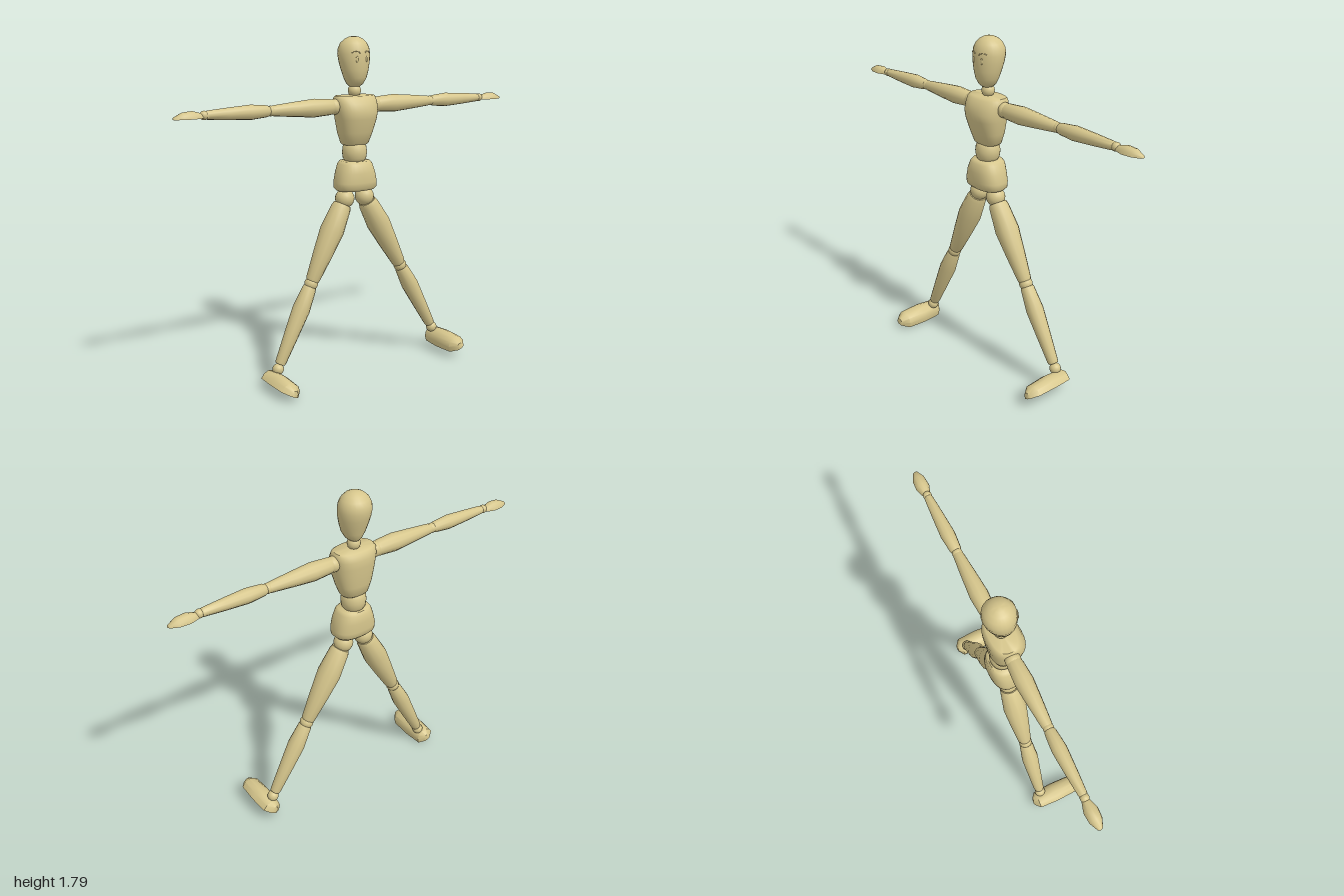
import * as THREE from 'three';
import { toCreasedNormals } from 'three/addons/utils/BufferGeometryUtils.js';

const wood = new THREE.MeshStandardMaterial({ color: 0xd6c68c });
const Z = -0.075; // depth of the body's axis
const vec = (x, y, z = Z) => new THREE.Vector3(x, y, z);

// Stacked rings [y, half width, half depth, centre z]; power > 2 squares the section
function loft(rings, { sides = 24, power = 2, flat = false } = {}) {
  const geo = new THREE.LatheGeometry(rings.map((r, i) => new THREE.Vector2(1, i)), sides);
  const pos = geo.attributes.position;
  const round = (v) => Math.sign(v) * Math.pow(Math.abs(v), 2 / power);
  for (let i = 0; i < pos.count; i++) {
    const [y, rx, rz, cz = 0] = rings[Math.round(pos.getY(i))];
    const z = round(pos.getZ(i)) * rz;
    pos.setXYZ(i, round(pos.getX(i)) * rx, y, (flat ? Math.min(z, 0) : z) + cz);
  }
  return geo;
}

export function createModel() {
  const group = new THREE.Group();

  function add(name, geo, crease = 0.75, parent = group) {
    const mesh = new THREE.Mesh(toCreasedNormals(geo, crease), wood);
    mesh.name = name;
    parent.add(mesh);
    return mesh;
  }

  function ball(name, p, rx, ry = rx, rz = rx, parent = group) {
    const mesh = new THREE.Mesh(new THREE.SphereGeometry(1, 20, 14), wood);
    mesh.name = name;
    mesh.scale.set(rx, ry, rz);
    mesh.position.copy(p);
    parent.add(mesh);
    return mesh;
  }

  // Turned limb from a to b; profile is [fraction of length, radius]
  function limb(name, a, b, profile) {
    const dir = b.clone().sub(a);
    const len = dir.length();
    const pts = profile.map(([t, r]) => new THREE.Vector2(r, t * len));
    pts.unshift(new THREE.Vector2(0, pts[0].y));
    pts.push(new THREE.Vector2(0, len));
    const mesh = add(name, new THREE.LatheGeometry(pts, 12));
    mesh.position.copy(a);
    mesh.quaternion.setFromUnitVectors(new THREE.Vector3(0, 1, 0), dir.normalize());
  }

  // Egg-shaped head
  add('head', loft([
    [1.532, 0, 0, -0.076], [1.535, 0.026, 0.032, -0.074], [1.55, 0.043, 0.047, -0.071],
    [1.58, 0.06, 0.06, -0.069], [1.62, 0.072, 0.07, -0.072], [1.66, 0.081, 0.078, -0.077],
    [1.7, 0.085, 0.082, -0.081], [1.73, 0.081, 0.079, -0.082], [1.755, 0.069, 0.067, -0.082],
    [1.775, 0.048, 0.047, -0.081], [1.786, 0.025, 0.025, -0.08], [1.79, 0, 0, -0.08],
  ]), 1.2);
  const face = new THREE.Group();
  face.name = 'face';
  group.add(face);
  for (const s of [-1, 1]) {
    // Eyes and curved brows lie just on the surface
    ball('eye', vec(s * 0.03, 1.675, -0.004), 0.007, 0.016, 0.004, face);
    const browPts = [[0.012, 1.706], [0.032, 1.716], [0.055, 1.708]].map(([x, y]) =>
      vec(s * x, y, -0.081 + 0.081 * Math.sqrt(1 - (x / 0.085) ** 2)));
    add('brow', new THREE.TubeGeometry(new THREE.CatmullRomCurve3(browPts), 8, 0.003, 6), 1.2, face);
  }
  ball('neck', vec(0, 1.513), 0.034, 0.034, 0.034);

  // Trunk
  add('chest', loft([
    [1.235, 0, 0, -0.075], [1.235, 0.066, 0.049, -0.075], [1.243, 0.075, 0.057, -0.075],
    [1.3, 0.094, 0.073, -0.071], [1.37, 0.11, 0.087, -0.063], [1.41, 0.116, 0.092, -0.062],
    [1.45, 0.118, 0.086, -0.069], [1.478, 0.116, 0.074, -0.073], [1.489, 0.108, 0.062, -0.075],
    [1.491, 0, 0, -0.075],
  ], { sides: 32, power: 2.5 }), 0.9);
  add('waist', loft([
    [1.14, 0, 0, Z], [1.145, 0.05, 0.05, Z], [1.165, 0.062, 0.061, Z], [1.195, 0.066, 0.065, Z],
    [1.225, 0.062, 0.061, Z], [1.245, 0.05, 0.05, Z], [1.25, 0, 0, Z],
  ]), 1.2);
  add('pelvis', loft([
    [0.995, 0, 0, -0.07], [0.997, 0.105, 0.07, -0.07], [1.01, 0.117, 0.082, -0.07],
    [1.04, 0.118, 0.085, -0.07], [1.09, 0.106, 0.084, -0.07], [1.135, 0.09, 0.078, -0.073],
    [1.15, 0.078, 0.066, -0.074], [1.152, 0, 0, -0.074],
  ], { sides: 32, power: 2.5 }), 0.9);

  // Arms stretched sideways, palms down
  const armY = 1.436;
  for (const s of [-1, 1]) {
    const side = s > 0 ? 'left' : 'right';
    const at = (x, y = armY) => vec(s * x, y);
    ball(side + 'Shoulder', at(0.125), 0.04);
    limb(side + 'UpperArm', at(0.13), at(0.485),
      [[0, 0.036], [0.06, 0.041], [0.32, 0.047], [0.6, 0.039], [0.97, 0.027], [1, 0.024]]);
    ball(side + 'Elbow', at(0.49), 0.026);
    limb(side + 'Forearm', at(0.498), at(0.833),
      [[0, 0.024], [0.04, 0.029], [0.3, 0.037], [0.65, 0.03], [0.97, 0.022], [1, 0.02]]);
    ball(side + 'Wrist', at(0.843), 0.022);
    const hand = loft([
      [0, 0, 0], [0, 0.019, 0.022], [0.05, 0.035, 0.036], [0.1, 0.032, 0.032],
      [0.142, 0.013, 0.012], [0.148, 0, 0],
    ], { sides: 12, flat: true });
    hand.rotateX(Math.PI / 2).rotateY(s * Math.PI / 2);
    add(side + 'Hand', hand).position.copy(at(0.852, 1.424));
  }

  // Legs spread wide; each side has its own stance
  const legs = [
    { side: 'left', s: 1, knee: vec(0.3, 0.537), ankle: vec(0.53, 0.13), sole: vec(0.563, 0.062, 0), tilt: 0.48 },
    { side: 'right', s: -1, knee: vec(-0.273, 0.522), ankle: vec(-0.478, 0.094), sole: vec(-0.515, 0.029, 0), tilt: -0.44 },
  ];
  for (const { side, s, knee, ankle, sole, tilt } of legs) {
    const hip = vec(s * 0.062, 0.953);
    ball(side + 'Hip', hip, 0.051);
    limb(side + 'Thigh', hip.clone().lerp(knee, 0.07), hip.clone().lerp(knee, 0.97),
      [[0, 0.046], [0.05, 0.053], [0.35, 0.064], [0.65, 0.052], [0.97, 0.037], [1, 0.033]]);
    ball(side + 'Knee', knee, 0.036);
    limb(side + 'Shin', knee.clone().lerp(ankle, 0.035), knee.clone().lerp(ankle, 0.94),
      [[0, 0.033], [0.03, 0.037], [0.3, 0.047], [0.65, 0.038], [0.97, 0.029], [1, 0.026]]);
    ball(side + 'Ankle', ankle, 0.03);
    const foot = loft([
      [-0.133, 0, 0], [-0.13, 0.018, 0.04], [-0.105, 0.052, 0.058], [0, 0.059, 0.064],
      [0.115, 0.054, 0.058], [0.155, 0.02, 0.032], [0.16, 0, 0],
    ], { sides: 12, flat: true, power: 2.2 });
    foot.rotateX(Math.PI / 2);
    const mesh = add(side + 'Foot', foot);
    mesh.position.copy(sole);
    mesh.rotation.z = tilt;
  }
  return group;
}
